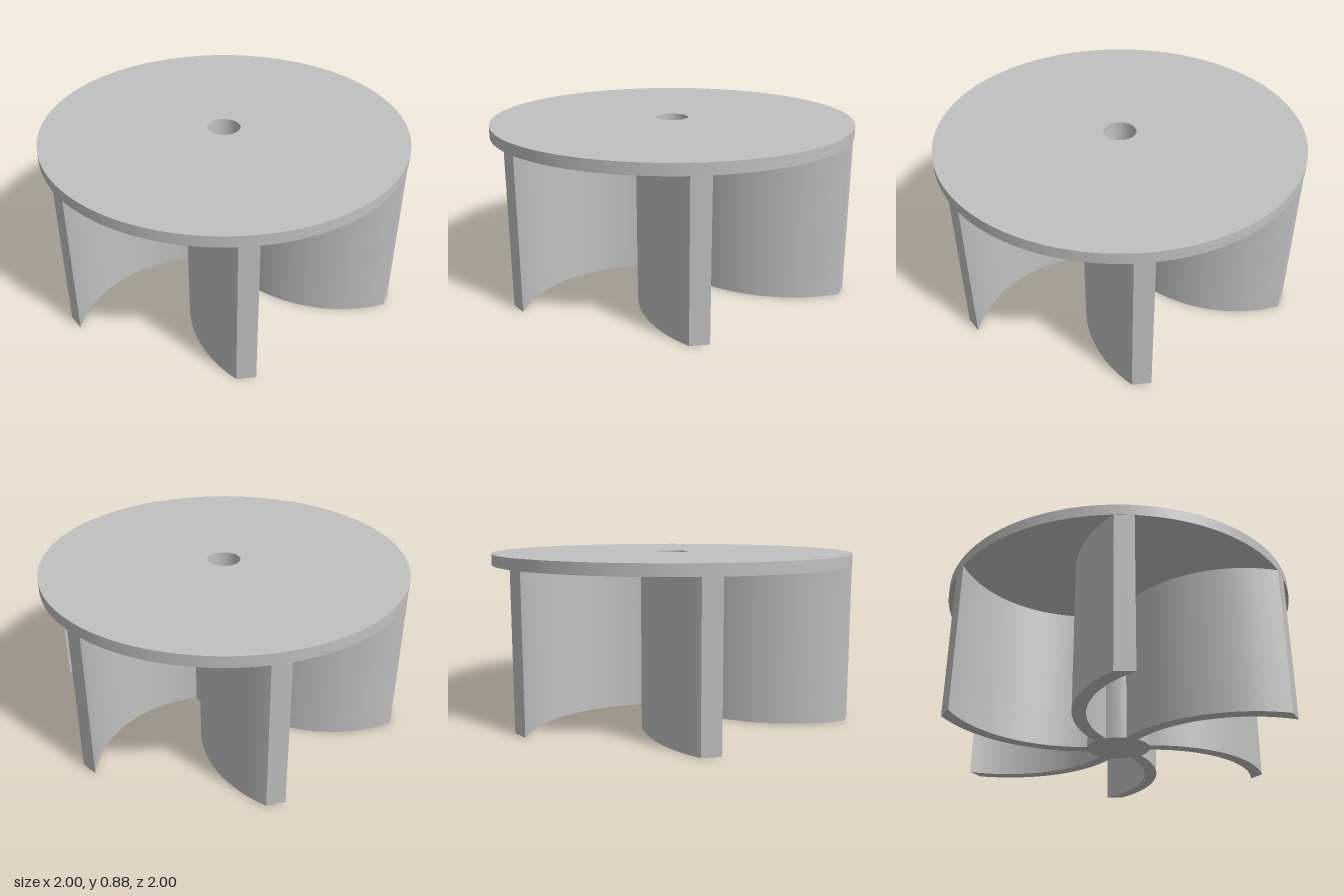
import * as THREE from 'three';
import { toCreasedNormals } from 'three/addons/utils/BufferGeometryUtils.js';

const HEIGHT = 0.885, PLATE_Y = 0.825, HUB_R = 0.175, BORE_R = 0.09, BORE_FLOOR = 0.3;
const BLADES = 6;
const rad = THREE.MathUtils.degToRad;

const lathe = (profile) => toCreasedNormals(
  new THREE.LatheGeometry(profile.map(([x, y]) => new THREE.Vector2(x, y)), 96), rad(30));

// Curved blade: two concentric arcs running from the rim into the hub
function bladeGeometry() {
  const cx = 0.473, cz = -0.51;
  const shape = new THREE.Shape();
  shape.absarc(cx, cz, 0.72, rad(43), rad(124), false);
  shape.absarc(cx, cz, 0.65, rad(124), rad(37), true);
  const geo = new THREE.ExtrudeGeometry(shape, { depth: PLATE_Y, bevelEnabled: false, curveSegments: 32 });
  geo.rotateX(Math.PI / 2);
  geo.translate(0, PLATE_Y, 0);
  return toCreasedNormals(geo, rad(30));
}

export function createModel() {
  const group = new THREE.Group();
  group.name = 'impeller';
  const grey = new THREE.MeshStandardMaterial({ color: 0xc0c0c0 });
  grey.name = 'plain grey';

  const add = (name, geometry) => {
    const mesh = new THREE.Mesh(geometry, grey);
    mesh.name = name;
    group.add(mesh);
    return mesh;
  };

  // Round cover plate with the blind shaft bore
  add('coverPlate', lathe([
    [HUB_R, PLATE_Y], [1, PLATE_Y], [1, HEIGHT], [BORE_R, HEIGHT], [BORE_R, BORE_FLOOR], [0, BORE_FLOOR],
  ]));

  // Central hub, closed at the bottom
  add('hub', lathe([[0, 0], [HUB_R, 0], [HUB_R, PLATE_Y]]));

  // Ring of swept blades
  const blade = bladeGeometry();
  for (let i = 0; i < BLADES; i++) {
    add(`blade${i + 1}`, blade).rotation.y = (i / BLADES) * Math.PI * 2;
  }
  return group;
}
